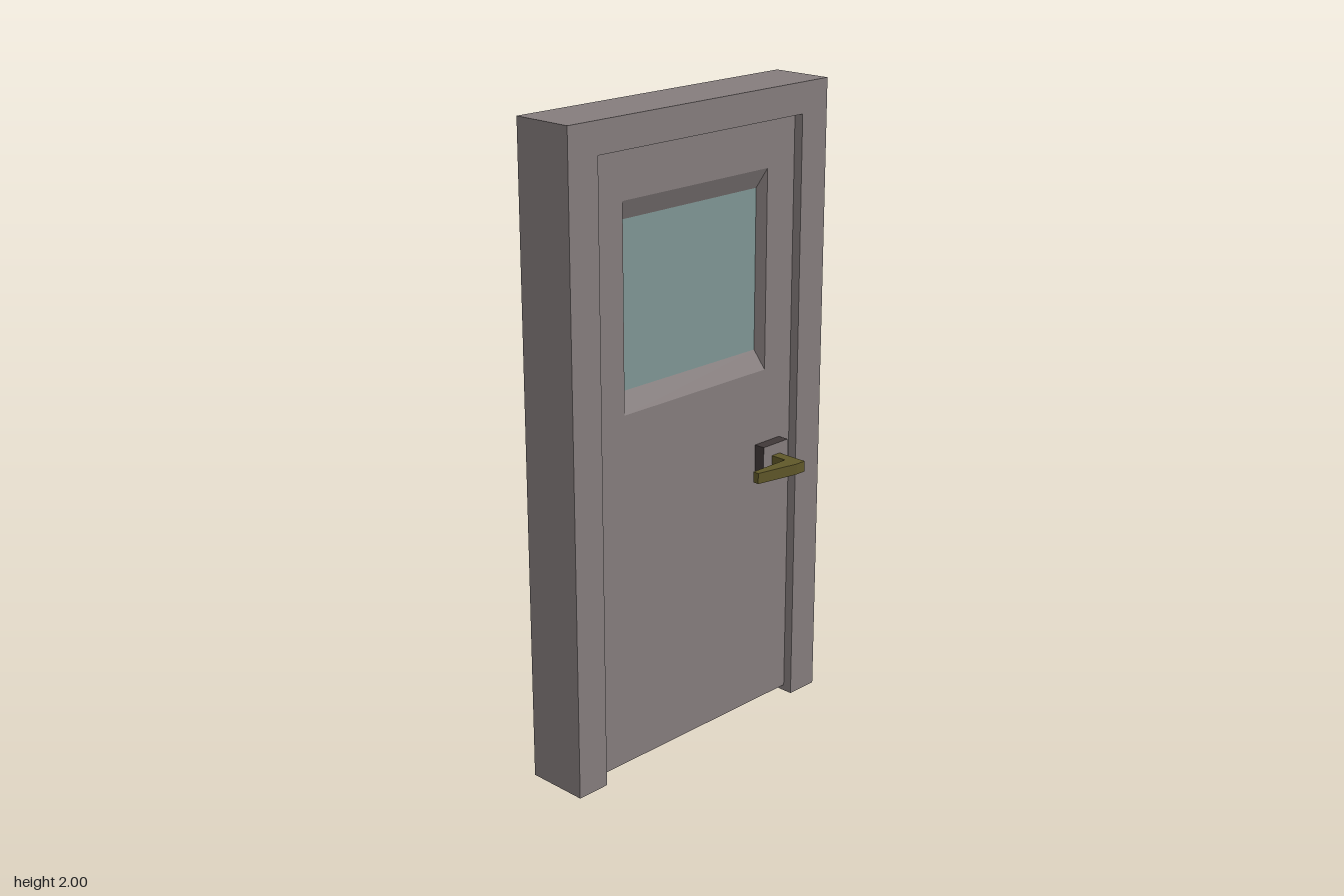
import * as THREE from 'three';

const mat = (name, color) => Object.assign(new THREE.MeshStandardMaterial({ color }), { name });
const grey = mat('warm grey paint', 0x857d7d);
const dark = mat('dark edge', 0x403838);
const glass = mat('pale teal glass', 0x7f9694);
const brass = mat('dark brass', 0x605829);

const HALF_WALL = 0.1, HALF_DOOR = 0.07, HALF_GLASS = 0.04;
const WINDOW_Y = 1.4455, HANDLE_Y = 0.846;

const path = (pts, Type = THREE.Shape) => new Type(pts.map(([x, y]) => new THREE.Vector2(x, y)));
const rect = (hw, y0, y1) => [[-hw, y0], [hw, y0], [hw, y1], [-hw, y1]];

// Extrudes an outline centred on its own thickness, then turns it to face +x
function slab(shape, half) {
  return new THREE.ExtrudeGeometry(shape, { depth: half * 2, bevelEnabled: false })
    .translate(0, 0, -half)
    .rotateY(Math.PI / 2);
}

// Four sloping faces joining a large outer rectangle to a recessed inner one
function slopedSurround(outer, inner, wOuter, wInner) {
  const pos = [];
  for (let i = 0; i < 4; i++) {
    const j = (i + 1) % 4;
    const a = [...outer[i], wOuter], b = [...outer[j], wOuter];
    const c = [...inner[j], wInner], d = [...inner[i], wInner];
    pos.push(...a, ...b, ...c, ...a, ...c, ...d);
  }
  const g = new THREE.BufferGeometry();
  g.setAttribute('position', new THREE.Float32BufferAttribute(pos, 3));
  g.rotateY(Math.PI / 2);
  g.computeVertexNormals();
  return g;
}

export function createModel() {
  const model = new THREE.Group();
  model.name = 'door';
  const add = (parent, name, geometry, material) => {
    const mesh = new THREE.Mesh(geometry, material);
    mesh.name = name;
    parent.add(mesh);
    return mesh;
  };

  // Surrounding frame: two jambs and a head
  add(model, 'doorFrame', slab(path([
    [-0.524, 0], [-0.415, 0], [-0.415, 1.905], [0.415, 1.905],
    [0.415, 0], [0.524, 0], [0.524, 2], [-0.524, 2],
  ]), HALF_WALL), grey);

  // Door leaf with window opening and dark edges
  const leaf = path(rect(0.415, 0.02, 1.905));
  leaf.holes.push(path(rect(0.297, 1.134, 1.757), THREE.Path));
  add(model, 'doorLeaf', slab(leaf, HALF_DOOR), [grey, dark]);

  // Glass pane
  add(model, 'windowGlass',
    new THREE.BoxGeometry(HALF_GLASS * 2, 0.501, 0.562).translate(0, WINDOW_Y, 0), glass);

  // Shared geometry for the fittings on both faces
  const surround = slopedSurround(
    rect(0.297, -0.3115, 0.3115), rect(0.281, -0.2505, 0.2505), HALF_DOOR, HALF_GLASS);
  const plate = new THREE.BoxGeometry(0.036, 0.106, 0.11).translate(0.088, 0, -0.314);
  const lever = new THREE.ExtrudeGeometry(path([
    [0.08, 0.297], [0.159, 0.297], [0.159, 0.154], [0.179, 0.154],
    [0.209, 0.297], [0.209, 0.332], [0.08, 0.332],
  ]), { depth: 0.034, bevelEnabled: false }).translate(0, 0, -0.017).rotateX(-Math.PI / 2);

  // Each fitting is symmetric in height, so a half turn about z gives the other face
  ['left', 'right'].forEach((side, i) => {
    const turn = i * Math.PI;
    const bevel = add(model, side + 'WindowSurround', surround, grey);
    bevel.position.y = WINDOW_Y;
    bevel.rotation.z = turn;

    const handle = new THREE.Group();
    handle.name = side + 'Handle';
    handle.position.y = HANDLE_Y;
    handle.rotation.z = turn;
    add(handle, 'handlePlate', plate, [grey, dark, dark, dark, dark, dark]);
    add(handle, 'handleLever', lever, brass);
    model.add(handle);
  });

  return model;
}
